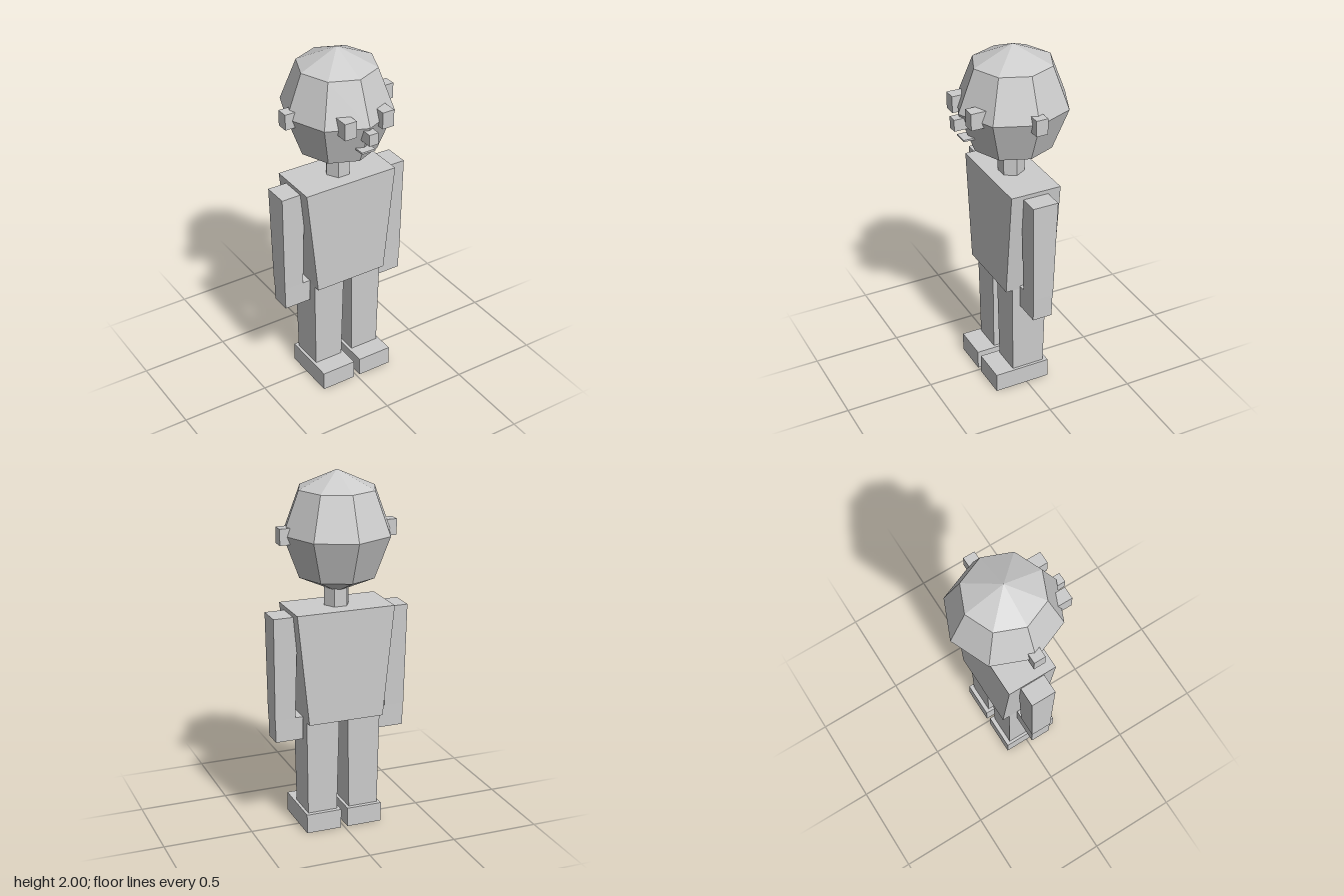
import * as THREE from 'three';

const grey = new THREE.MeshStandardMaterial({ color: 0xcccccc });
grey.name = 'plain grey';

// Six-sided block given by its extents [x0, x1, z0, z1] at the bottom and at the top
function block(y0, y1, bottom, top = bottom) {
  const geo = new THREE.BoxGeometry(1, 1, 1);
  const p = geo.attributes.position;
  for (let i = 0; i < p.count; i++) {
    const e = p.getY(i) > 0 ? top : bottom;
    p.setXYZ(i, p.getX(i) > 0 ? e[1] : e[0], p.getY(i) > 0 ? y1 : y0, p.getZ(i) > 0 ? e[3] : e[2]);
  }
  return geo;
}

// Mirror the extents to the other side of the body
const flip = (e) => [-e[1], -e[0], e[2], e[3]];

export function createModel() {
  const model = new THREE.Group();
  model.name = 'blockFigure';

  const add = (name, geo) => {
    const flat = geo.index ? geo.toNonIndexed() : geo;
    flat.computeVertexNormals();
    const mesh = new THREE.Mesh(flat, grey);
    mesh.name = name;
    model.add(mesh);
    return mesh;
  };
  const pair = (name, y0, y1, bottom, top = bottom) => {
    add('left' + name, block(y0, y1, bottom, top));
    add('right' + name, block(y0, y1, flip(bottom), flip(top)));
  };

  // Head: faceted ball with eight sides
  const head = new THREE.SphereGeometry(1, 8, 4);
  head.scale(0.302, 0.33, 0.31);
  head.translate(0, 1.67, -0.02);
  add('head', head);

  // Neck: hexagonal post
  const neck = new THREE.CylinderGeometry(0.071, 0.071, 0.16, 6);
  neck.rotateY(Math.PI / 2);
  neck.translate(0, 1.34, -0.012);
  add('neck', neck);

  // Face details
  pair('Ear', 1.627, 1.715, [0.25, 0.33, -0.052, 0.014]);
  pair('Eye', 1.64, 1.733, [0.078, 0.147, 0.2, 0.287]);
  add('nose', block(1.59, 1.655, [-0.027, 0.027, 0.23, 0.326]));
  add('mouth', block(1.525, 1.535, [-0.04, 0.04, 0.2, 0.28]));

  // Torso narrows towards the waist
  add('torso', block(0.65, 1.27, [-0.213, 0.213, -0.161, 0.126], [-0.277, 0.277, -0.161, 0.126]));

  // Arms with hands that reach inwards below the sleeve
  pair('Arm', 0.67, 1.245, [0.262, 0.377, -0.072, 0.047], [0.25, 0.384, -0.089, 0.055]);
  pair('Hand', 0.54, 0.67, [0.217, 0.373, -0.068, 0.044], [0.217, 0.375, -0.07, 0.045]);

  // Legs and feet
  pair('Leg', 0.11, 0.65, [0.036, 0.205, -0.11, 0.08], [0.025, 0.213, -0.118, 0.088]);
  pair('Foot', 0, 0.11, [0.019, 0.221, -0.134, 0.19]);

  return model;
}
